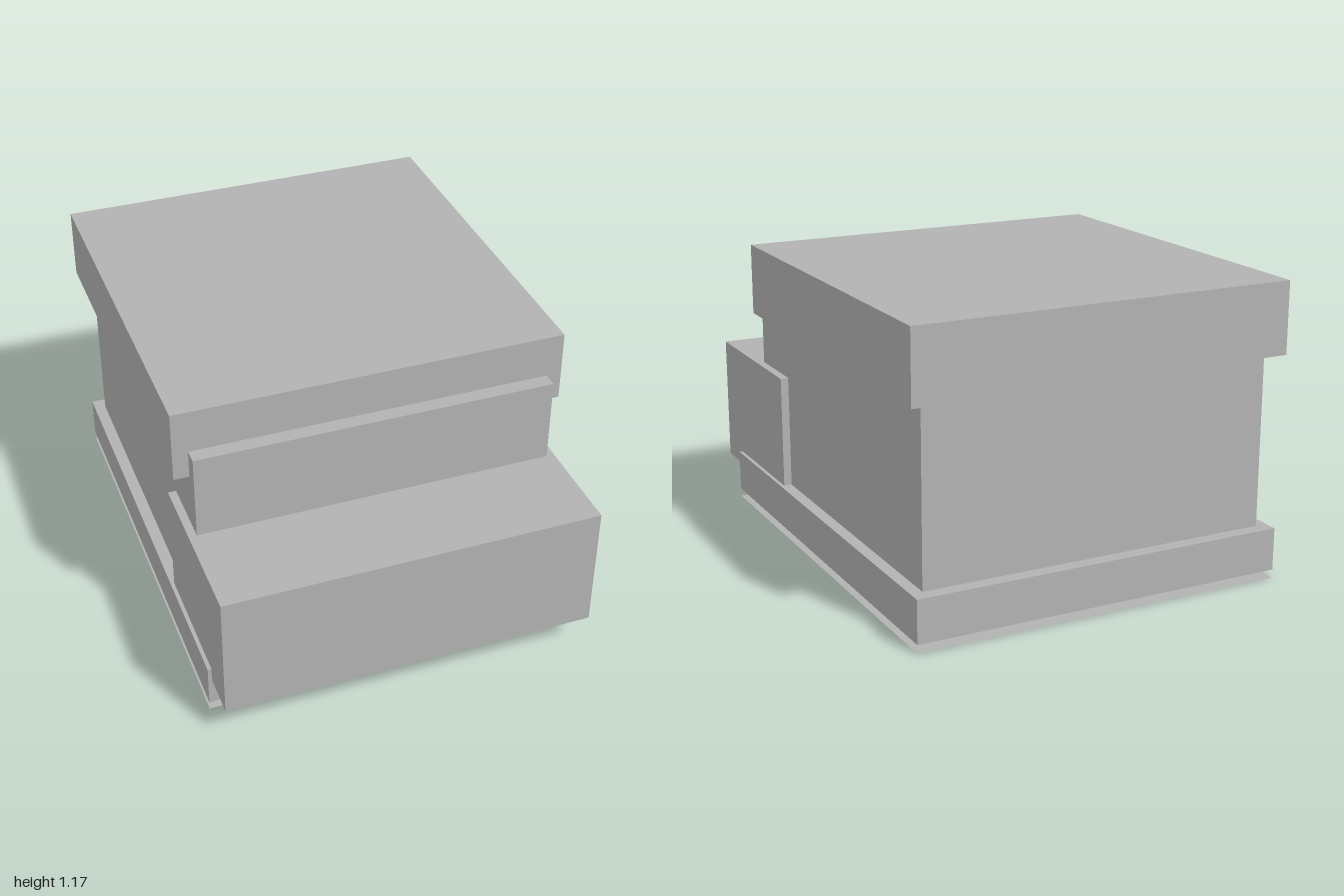
import * as THREE from 'three';

export function createModel() {
  const model = new THREE.Group();
  const grey = new THREE.MeshStandardMaterial({ color: 0xb2b2b2 });
  grey.name = 'plainGrey';
  grey.side = THREE.DoubleSide;

  // Box centred on x, given its half width and its y and z ranges
  function block(name, halfWidth, [y0, y1], [z0, z1], openBottom = false) {
    const geometry = new THREE.BoxGeometry(2 * halfWidth, y1 - y0, z1 - z0);
    if (openBottom) {
      // The fourth side of a box (indices 18 to 23) is its underside
      const index = Array.from(geometry.index.array);
      index.splice(18, 6);
      geometry.setIndex(index);
      geometry.clearGroups();
    }
    const mesh = new THREE.Mesh(geometry, grey);
    mesh.name = name;
    mesh.position.set(0, (y0 + y1) / 2, (z0 + z1) / 2);
    model.add(mesh);
  }

  block('roofSlab', 0.77, [0.89, 1.175], [-1, 0.54]);
  block('mainBody', 0.71, [0.035, 1.003], [-0.945, 0.6]);
  block('frontBlock', 0.742, [0.145, 0.66], [0.32, 1]);
  block('baseSkirt', 0.757, [0.033, 0.203], [-1, 0.83], true);

  // Thin sheet under the base, separated by a small gap
  const sheet = new THREE.Mesh(new THREE.PlaneGeometry(1.514, 1.83), grey);
  sheet.name = 'bottomSheet';
  sheet.rotation.x = Math.PI / 2;
  sheet.position.set(0, 0, -0.085);
  model.add(sheet);

  return model;
}
